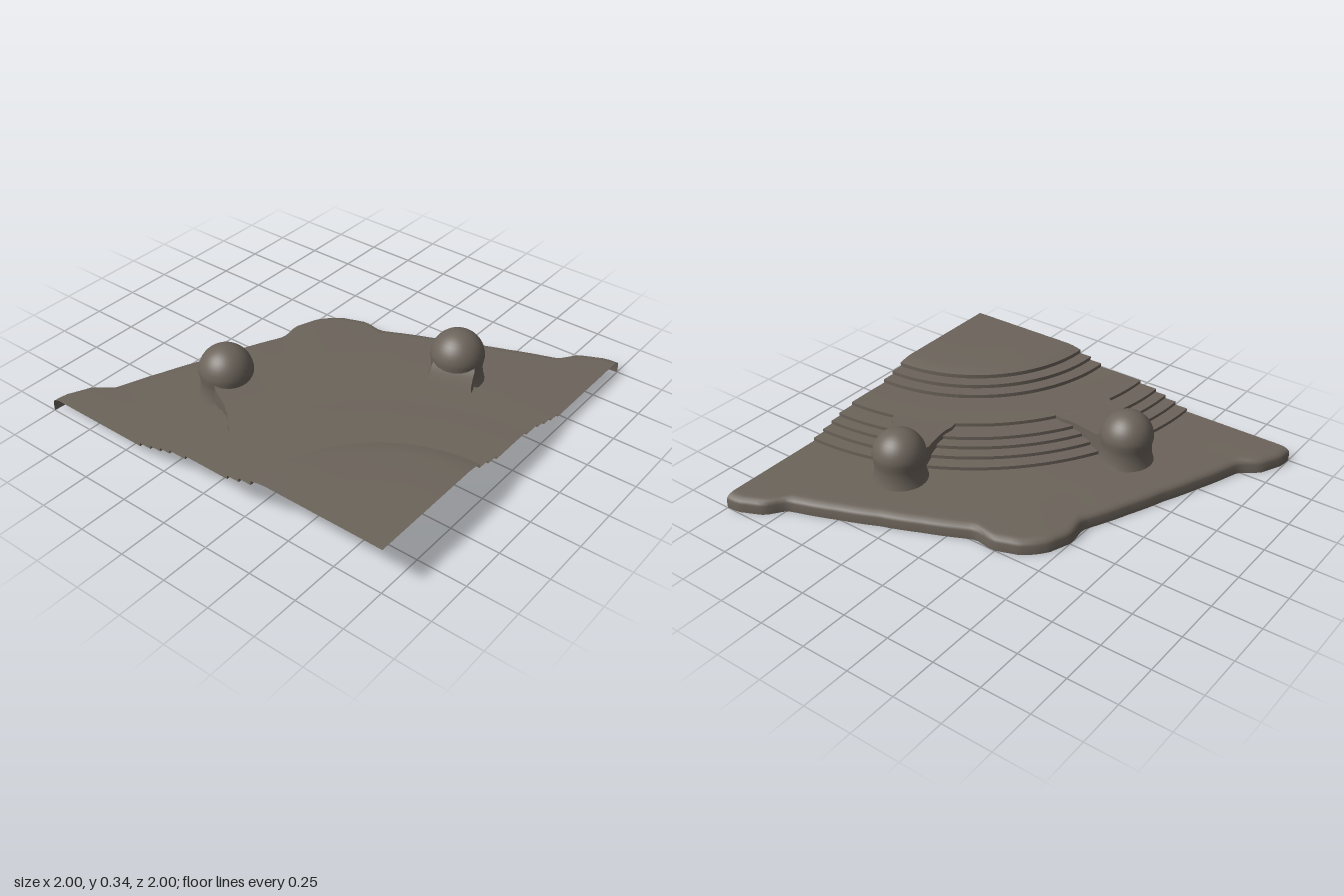
import * as THREE from 'three';
import { toCreasedNormals } from 'three/addons/utils/BufferGeometryUtils.js';

const RAD = Math.PI / 180;
const POST_R = 1.484;            // distance of the posts from the corner
const POST_ANGLES = [22.5, 67.5];

// Surface through a grid of points, with optional skipped cells
function gridSurface(rows, cols, point, skip = () => false) {
  const pos = [], index = [];
  for (let i = 0; i < rows; i++)
    for (let j = 0; j < cols; j++) pos.push(...point(i, j));
  for (let i = 0; i < rows - 1; i++)
    for (let j = 0; j < cols - 1; j++) {
      if (skip(i, j)) continue;
      const a = i * cols + j, b = a + cols;
      index.push(a, b, b + 1, a, b + 1, a + 1);
    }
  const g = new THREE.BufferGeometry();
  g.setAttribute('position', new THREE.Float32BufferAttribute(pos, 3));
  g.setIndex(index);
  return toCreasedNormals(g, 0.7);
}

// Rim radius: a rounded lobe every 45 degrees on a shallow scalloped edge
const LOBE = [[0, 2], [2, 1.995], [3, 1.98], [5.3, 1.95], [6.2, 1.925], [7.3, 1.88],
  [8.3, 1.862], [10, 1.852], [16, 1.825], [22.5, 1.812]];
function rimRadius(deg) {
  const d = Math.abs(deg - Math.round(deg / 45) * 45);
  for (let i = 1; i < LOBE.length; i++) {
    const [d0, r0] = LOBE[i - 1], [d1, r1] = LOBE[i];
    if (d <= d1) return r0 + (r1 - r0) * (d - d0) / (d1 - d0);
  }
  return 1.812;
}

// Radial profile of the terraced floor, from the corner outwards
function floorProfile() {
  const p = [[0, 0.24], [0.4, 0.24], [0.62, 0.24], [0.66, 0.236], [0.705, 0.226]];
  const step = (r, high, low) => p.push([r, high], [r, low]);
  p.pop();
  step(0.705, 0.226, 0.205);
  step(0.775, 0.205, 0.185);
  step(0.845, 0.185, 0.165);
  p.push([0.97, 0.166]);
  [1.1, 1.2, 1.26, 1.325, 1.395].forEach((r, i) => step(r, 0.165 - i * 0.018, 0.147 - i * 0.018));
  for (let r = 1.43; r < 1.66; r += 0.035) p.push([r, 0.075]);
  return p;
}

export function createModel() {
  const model = new THREE.Group();
  const stone = new THREE.MeshStandardMaterial({ color: 0x6c645b, side: THREE.DoubleSide });
  stone.name = 'grey brown stone';

  // Quarter-round terraced shell with the rolled rim, open underneath
  const profile = floorProfile();
  const rim = [[0.06, 0.075], [0.04, 0.074], [0.02, 0.069], [0.006, 0.06], [0, 0.047], [0, 0]];
  const SEG = 120;
  const polar = (i, j) => {
    const deg = j * 90 / SEG;
    if (i < profile.length) return [profile[i][0], profile[i][1], deg];
    const [inset, y] = rim[i - profile.length];
    return [rimRadius(deg) - inset, y, deg];
  };
  const shell = gridSurface(profile.length + rim.length, SEG + 1, (i, j) => {
    const [r, y, deg] = polar(i, j);
    return [1 - r * Math.sin(deg * RAD), y, 1 - r * Math.cos(deg * RAD)];
  }, (i, j) => {
    // leave the floor open beneath the hollow posts and arms
    const a = polar(i, j), b = polar(i + 1, j + 1);
    const r = (a[0] + b[0]) / 2, deg = (a[2] + b[2]) / 2;
    return POST_ANGLES.some(p => {
      const t = r * Math.sin((deg - p) * RAD), u = r * Math.cos((deg - p) * RAD);
      return Math.hypot(t, u - POST_R) < 0.1 || (u > 1.16 && u < 1.45 && Math.abs(t) < 0.08);
    });
  });
  const floor = new THREE.Mesh(shell, stone);
  floor.name = 'terracedFloor';
  model.add(floor);

  // Domed post: flared foot, slight neck and round head
  const outline = [[0.142, 0.07], [0.132, 0.1], [0.127, 0.14], [0.129, 0.175]]
    .map(([x, y]) => new THREE.Vector2(x, y));
  for (let k = 0; k <= 10; k++) {
    const a = k / 10 * Math.PI / 2;
    outline.push(new THREE.Vector2(0.135 * Math.cos(a), 0.205 + 0.135 * Math.sin(a)));
  }
  outline[outline.length - 1].x = 0;
  const postGeometry = new THREE.LatheGeometry(outline, 32);

  // Arm sections: distance from the corner, half width, top height
  const sections = [[1.07, 0.17, 0.164], [1.13, 0.16, 0.167], [1.17, 0.138, 0.167], [1.22, 0.122, 0.167],
    [1.28, 0.11, 0.168], [1.34, 0.106, 0.175], [1.38, 0.106, 0.188], [1.41, 0.1, 0.205]];
  const armGeometry = gridSurface(sections.length, 6, (i, j) => {
    const [r, w, top] = sections[i];
    const low = r < 1.12 ? 0.14 : 0.072;
    return [[w, low, -r], [w, top, -r], [w * 0.4, top, -r],
      [-w * 0.4, top, -r], [-w, top, -r], [-w, low, -r]][j];
  });

  POST_ANGLES.forEach(deg => {
    const group = new THREE.Group();
    group.name = 'buttress';
    group.position.set(1, 0, 1);
    group.rotation.y = deg * RAD;
    const post = new THREE.Mesh(postGeometry, stone);
    post.name = 'domedPost';
    post.position.z = -POST_R;
    const arm = new THREE.Mesh(armGeometry, stone);
    arm.name = 'flaredArm';
    group.add(post, arm);
    model.add(group);
  });

  return model;
}
